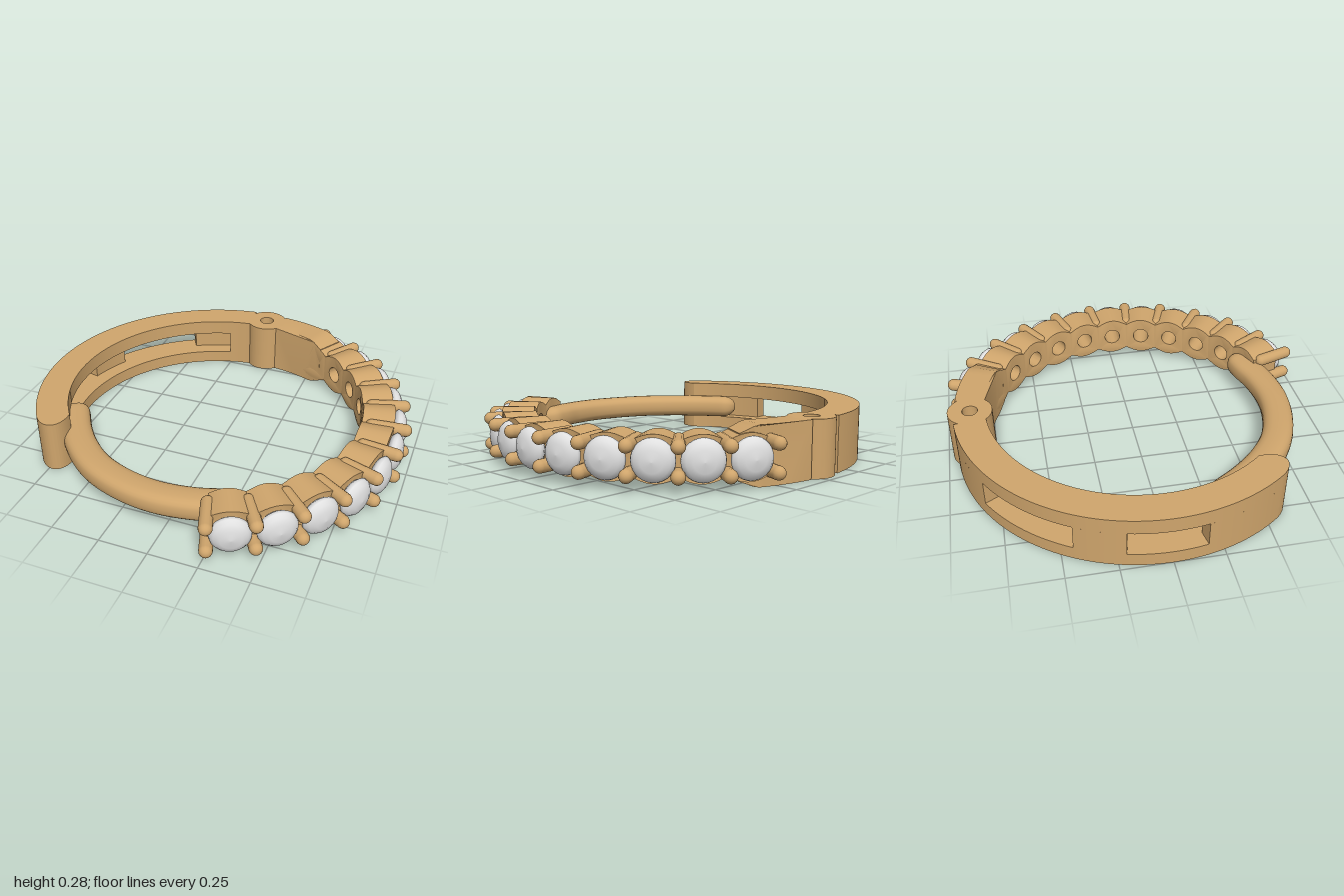
import * as THREE from 'three';
import { toCreasedNormals } from 'three/addons/utils/BufferGeometryUtils.js';

const CX = -0.05, R0 = 0.785, R1 = 0.95, MID = 0.14;
const rad = THREE.MathUtils.degToRad;
const STEP = 12.8, GEMS = 11;

export function createModel() {
  const model = new THREE.Group();
  const gold = new THREE.MeshStandardMaterial({ color: 0xcfa56c });
  gold.name = 'gold';
  const stone = new THREE.MeshStandardMaterial({ color: 0xe0e0e0 });
  stone.name = 'clear stone';

  function add(name, geometry, material = gold, parent = model) {
    const mesh = new THREE.Mesh(geometry, material);
    mesh.name = name;
    parent.add(mesh);
    return mesh;
  }

  // Flat outline in plan, raised from y0 to y1
  function plate(shape, y0, y1) {
    const g = new THREE.ExtrudeGeometry(shape, { depth: y1 - y0, bevelEnabled: false, curveSegments: 64 });
    g.rotateX(-Math.PI / 2).translate(0, y0, 0);
    return toCreasedNormals(g, 0.5);
  }

  // Ring sector; angles run from +x towards the back
  function sector(r0, r1, a0, a1, roundTip = false) {
    const s = new THREE.Shape();
    const p = (r, a) => [CX + r * Math.cos(rad(a)), r * Math.sin(rad(a))];
    s.absarc(CX, 0, r1, rad(a0), rad(a1), false);
    if (roundTip) s.bezierCurveTo(...p(r1, a1 + 8), ...p(r1 - 0.1, a1 + 9), ...p(r0, a1 + 2));
    s.absarc(CX, 0, r0, rad(roundTip ? a1 + 2 : a1), rad(a0), true);
    s.closePath();
    return s;
  }

  // Outline in (angle, height), thickened outwards and wrapped round the ring
  function wrap(shape, angle, depth) {
    const g = new THREE.ExtrudeGeometry(shape, { depth, bevelEnabled: false, curveSegments: 20 });
    const pos = g.attributes.position;
    for (let i = 0; i < pos.count; i++) {
      const t = angle + pos.getX(i), r = R0 + pos.getZ(i);
      pos.setXYZ(i, CX + r * Math.cos(t), pos.getY(i), -r * Math.sin(t));
    }
    return toCreasedNormals(g, 0.5);
  }

  // Plain half: two rails joined by the slotted middle wall
  const arm = new THREE.Group();
  arm.name = 'plainArm';
  model.add(arm);
  add('lowerRail', plate(sector(R0, R1, 96, 216, true), 0, 0.07), gold, arm);
  add('upperRail', plate(sector(R0, R1, 96, 216, true), 0.2, 0.28), gold, arm);
  add('hingeEndWall', plate(sector(R0, R1, 96, 105), 0.07, 0.2), gold, arm);
  add('latchEndWall', plate(sector(R0, R1, 205, 216, true), 0.07, 0.2), gold, arm);
  for (const [a0, a1] of [[105, 120], [152, 167], [190, 205]])
    add('outerWall', plate(sector(0.87, R1, a0, a1), 0.07, 0.2), gold, arm);

  // Hinge: three stacked knuckles with a pin hole
  for (let i = 0; i < 3; i++) {
    const disc = new THREE.Shape();
    disc.absarc(CX, 0.86, 0.115, 0, Math.PI * 2);
    const hole = new THREE.Path();
    hole.absarc(CX, 0.86, 0.04, 0, Math.PI * 2, true);
    disc.holes.push(hole);
    add('hingeKnuckle', plate(disc, i * 0.28 / 3, (i + 1) * 0.28 / 3));
  }

  // Shank from the hinge, tapering into the stone setting
  const shank = new THREE.Shape();
  const lower = [], upper = [];
  for (let i = 0; i <= 12; i++) {
    const a = 60 + i * 2;
    const h = 0.105 + 0.035 * THREE.MathUtils.smoothstep(a, 59, 66);
    lower.push(new THREE.Vector2(rad(a), MID - h));
    upper.unshift(new THREE.Vector2(rad(a), MID + h));
  }
  shank.setFromPoints([...lower, ...upper]);
  add('shank', wrap(shank, 0, 0.155));

  // One scalloped cup with a drilled back, repeated under every stone
  const cup = new THREE.Shape();
  const under = [], over = [];
  for (let i = 0; i <= 16; i++) {
    const u = i / 8 - 1, h = 0.08 + 0.03 * Math.cos(u * Math.PI / 2);
    under.push(new THREE.Vector2(rad(u * STEP / 2), MID - h));
    over.unshift(new THREE.Vector2(rad(u * STEP / 2), MID + h));
  }
  cup.setFromPoints([...under, ...over]);
  const drill = new THREE.Path();
  drill.absellipse(0, MID, 0.045 / R0, 0.045, 0, Math.PI * 2, true);
  cup.holes.push(drill);

  const gemProfile = [[0, -0.06], [0.085, -0.018], [0.1, 0], [0.096, 0.014], [0.08, 0.032], [0.05, 0.046], [0, 0.052]];
  const gemGeo = new THREE.LatheGeometry(gemProfile.map(p => new THREE.Vector2(...p)), 28);
  gemGeo.rotateZ(-Math.PI / 2);
  const prongGeo = new THREE.CapsuleGeometry(0.033, 0.174, 6, 14);
  prongGeo.rotateZ(-Math.PI / 2);

  // Place a part pointing outwards from the ring
  function radial(mesh, deg, r, y) {
    const t = rad(deg);
    mesh.position.set(CX + r * Math.cos(t), y, -r * Math.sin(t));
    mesh.rotation.y = t;
  }

  const setting = new THREE.Group();
  setting.name = 'stoneSetting';
  model.add(setting);
  for (let i = 0; i < GEMS; i++) {
    const a = -1 + STEP * (i - 5);
    add('cup', wrap(cup, rad(a), 0.165), gold, setting);
    radial(add('stone', gemGeo, stone, setting), a, 0.97, MID);
  }
  for (let i = 0; i <= GEMS; i++)
    for (const side of [-1, 1])
      radial(add('prong', prongGeo, gold, setting), -1 + STEP * (i - 5.5), 0.922, MID + side * 0.066);

  // Rounded latch wire across the front, with domed ends
  const path = new THREE.CatmullRomCurve3([
    [-0.79, 0.24], [-0.735, 0.33], [-0.67, 0.43], [-0.57, 0.55], [-0.42, 0.67],
    [-0.23, 0.745], [-0.05, 0.77], [0.13, 0.75], [0.25, 0.715], [0.37, 0.69],
  ].map(([x, z]) => new THREE.Vector3(x, MID, z)));
  const N = 72, M = 24, verts = [], index = [];
  const soft = v => Math.sign(v) * Math.pow(Math.abs(v), 0.75);
  for (let i = 0; i <= N; i++) {
    const u = (1 - Math.cos(Math.PI * i / N)) / 2;
    const p = path.getPointAt(u), t = path.getTangentAt(u);
    const e = Math.max(0, 1 - Math.min(u, 1 - u) / 0.055);
    const k = Math.max(0.001, Math.sqrt(1 - e * e));
    for (let j = 0; j < M; j++) {
      const a = j / M * Math.PI * 2;
      const w = 0.08 * k * soft(Math.cos(a)), h = 0.062 * k * soft(Math.sin(a));
      verts.push(p.x + t.z * w, p.y + h, p.z - t.x * w);
      if (i < N) {
        const q = i * M + j, n = i * M + (j + 1) % M;
        index.push(q, n, q + M, n, n + M, q + M);
      }
    }
  }
  const wire = new THREE.BufferGeometry();
  wire.setAttribute('position', new THREE.Float32BufferAttribute(verts, 3));
  wire.setIndex(index);
  wire.computeVertexNormals();
  add('latchWire', wire);

  return model;
}
